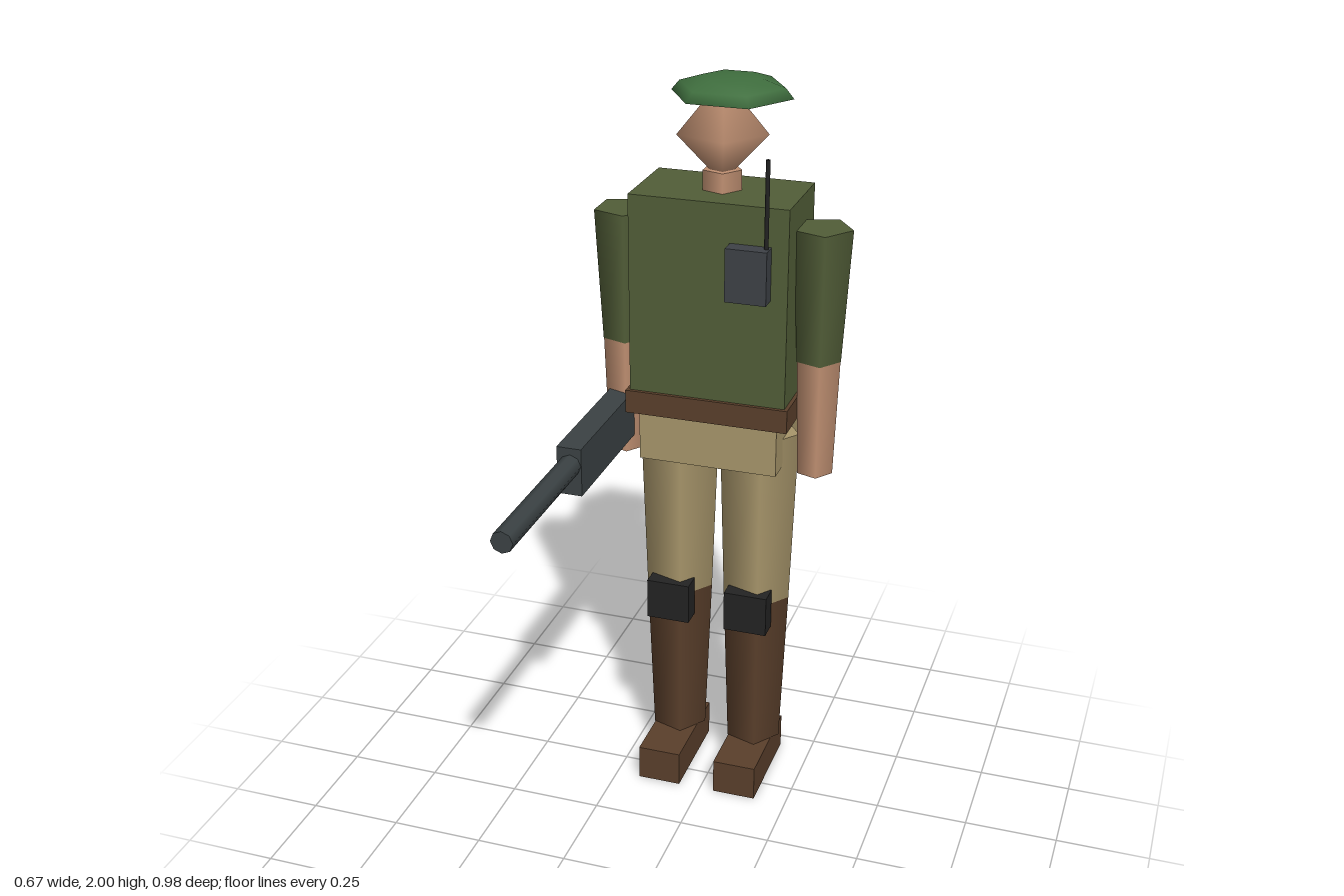
import * as THREE from 'three';

const mat = (name, color, side = THREE.FrontSide) => {
  const m = new THREE.MeshStandardMaterial({ color, side });
  m.name = name;
  return m;
};

export function createModel() {
  const olive = mat('oliveCloth', 0x525e38);
  const khaki = mat('khakiCloth', 0xa8966b);
  const leather = mat('brownLeather', 0x5a3f2b);
  const skin = mat('skin', 0xc09072);
  const felt = mat('greenFelt', 0x3f6e3e, THREE.DoubleSide);
  const black = mat('blackRubber', 0x232323);
  const metal = mat('gunMetal', 0x3b4244);
  const plastic = mat('radioCase', 0x3e4247);

  const model = new THREE.Group();
  model.name = 'soldier';
  // the figure stands behind the centre because the barrel reaches forward
  const body = new THREE.Group();
  body.name = 'body';
  body.position.set(-0.011, 0, -0.361);
  model.add(body);

  const add = (parent, name, geometry, material, x, y, z) => {
    const mesh = new THREE.Mesh(geometry, material);
    mesh.name = name;
    mesh.position.set(x, y, z);
    parent.add(mesh);
    return mesh;
  };
  // box given by its centre in x and z, and its bottom and top
  const box = (parent, name, material, w, d, y0, y1, x = 0, z = 0) =>
    add(parent, name, new THREE.BoxGeometry(w, y1 - y0, d), material, x, (y0 + y1) / 2, z);
  // upright five-sided taper with one corner towards +x
  const taper = (parent, name, material, rTop, rBottom, y0, y1, x = 0) =>
    add(parent, name, new THREE.CylinderGeometry(rTop, rBottom, y1 - y0, 5, 1, false, Math.PI / 2),
      material, x, (y0 + y1) / 2, 0);

  // trunk
  box(body, 'torso', olive, 0.42, 0.24, 1.18, 1.71);
  box(body, 'belt', leather, 0.44, 0.26, 1.117, 1.18);
  box(body, 'hips', khaki, 0.376, 0.22, 0.98, 1.117);

  // head and beret
  taper(body, 'neck', skin, 0.052, 0.052, 1.71, 1.762);
  const head = add(body, 'head', new THREE.SphereGeometry(0.121, 5, 2, Math.PI), skin, 0, 1.858, 0);
  head.scale.y = 1.1;
  const beret = add(body, 'beret',
    new THREE.SphereGeometry(1, 6, 3, 0, Math.PI * 2, 0, Math.PI / 2), felt, 0.023, 1.95, -0.001);
  beret.scale.set(0.158, 0.05, 0.144);

  // limbs
  for (const [side, s] of [['left', 1], ['right', -1]]) {
    const arm = new THREE.Group();
    arm.name = side + 'Arm';
    arm.position.x = s * 0.265;
    body.add(arm);
    taper(arm, 'sleeve', olive, 0.079, 0.06, 1.28, 1.635);
    taper(arm, 'forearm', skin, 0.059, 0.049, 0.96, 1.28);

    const leg = new THREE.Group();
    leg.name = side + 'Leg';
    leg.position.x = s * 0.111;
    body.add(leg);
    taper(leg, 'trouserLeg', khaki, 0.11, 0.094, 0.56, 1.06);
    taper(leg, 'bootShaft', leather, 0.094, 0.077, 0.1, 0.56);
    box(leg, 'bootFoot', leather, 0.12, 0.285, 0, 0.1, 0, 0.0475);
    box(leg, 'kneePad', black, 0.12, 0.056, 0.49, 0.605, 0, 0.081);
  }

  // chest radio
  box(body, 'radio', plastic, 0.108, 0.045, 1.47, 1.61, 0.112, 0.14);
  add(body, 'antenna', new THREE.CylinderGeometry(0.006, 0.006, 0.24, 5), black, 0.157, 1.715, 0.135);

  // rifle in the right hand
  const rifle = new THREE.Group();
  rifle.name = 'rifle';
  model.add(rifle);
  box(rifle, 'receiver', metal, 0.066, 0.46, 1.005, 1.135, -0.277, -0.17);
  const barrel = add(rifle, 'barrel', new THREE.CylinderGeometry(0.029, 0.029, 0.435, 8),
    metal, -0.274, 1.088, 0.276);
  barrel.rotation.x = Math.PI / 2;

  return model;
}
